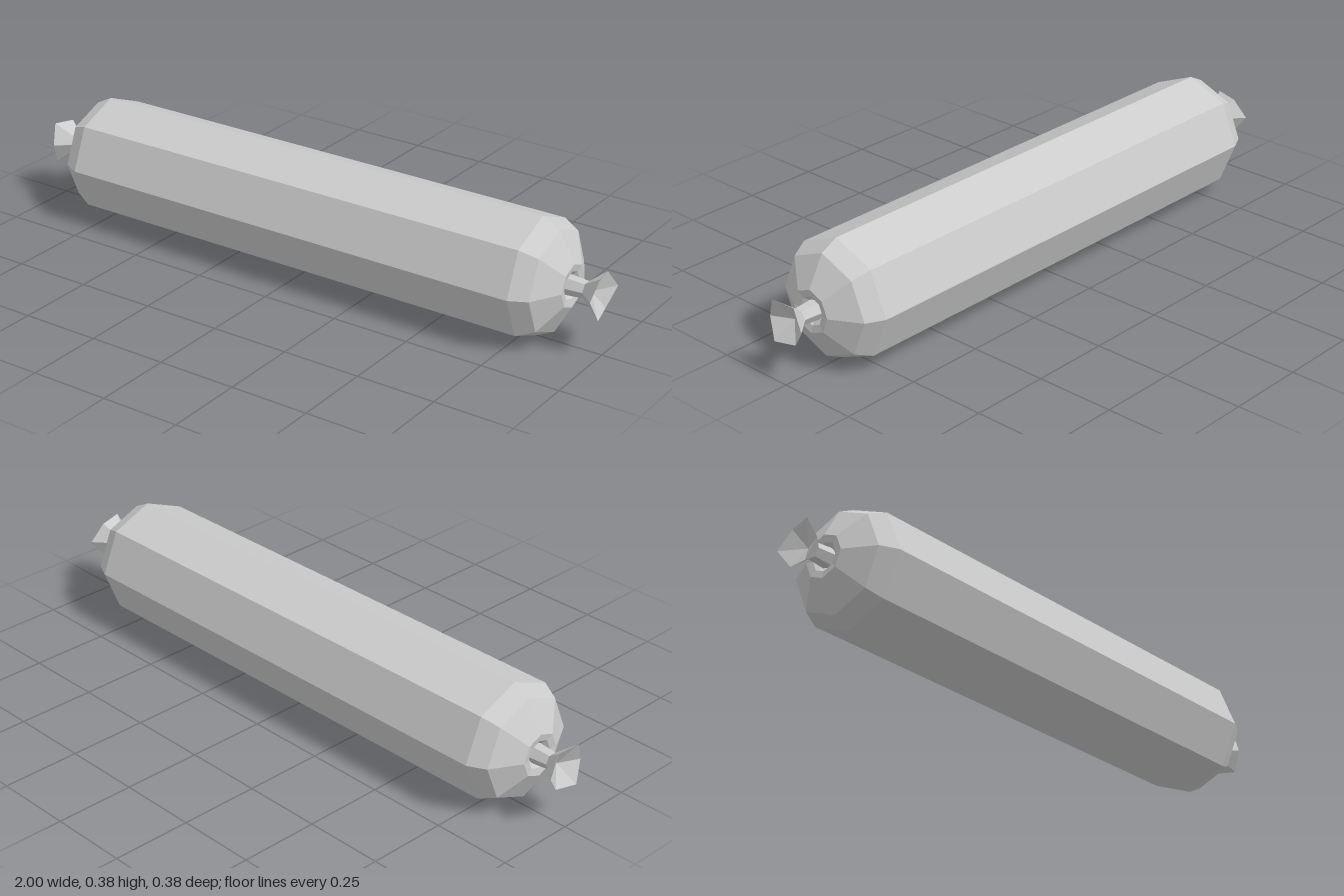
import * as THREE from 'three';

const RADIUS = 0.19;
const material = new THREE.MeshStandardMaterial({ color: 0xcccccc, flatShading: true });

// Faceted solid of revolution around y from [radius, height] pairs
function facetedLathe(profile, sides) {
  return new THREE.LatheGeometry(profile.map(([r, y]) => new THREE.Vector2(r, y)), sides);
}

function makeMesh(name, geometry) {
  const flat = geometry.toNonIndexed();
  flat.computeVertexNormals();
  const mesh = new THREE.Mesh(flat, material);
  mesh.name = name;
  return mesh;
}

// Gathered knot: slim neck, flared rim with alternating points, hollow end
function knotGeometry() {
  const profile = [[0.032, 0.865], [0.026, 0.94], [0.076, 1], [0, 0.955]];
  const geometry = facetedLathe(profile, 6);
  const pos = geometry.attributes.position;
  const rim = 2;
  for (let i = 0; i <= 6; i += 2) {
    const v = i * profile.length + rim;
    const k = 0.067 / 0.076;
    pos.setXYZ(v, pos.getX(v) * k, 0.986, pos.getZ(v) * k);
  }
  return geometry;
}

export function createModel() {
  const model = new THREE.Group();
  model.name = 'sausage';

  // Eight-sided casing with rounded ends and a dimple around each neck
  const half = [[0.19, 0.79], [0.162, 0.845], [0.068, 0.897], [0.045, 0.893], [0.024, 0.872]];
  const mirrored = half.map(([r, y]) => [r, -y]).reverse();
  const casing = makeMesh('casing', facetedLathe([...mirrored, ...half], 8));
  casing.rotation.z = -Math.PI / 2;
  casing.position.y = RADIUS;
  model.add(casing);

  // Tied ends
  for (const [name, side] of [['leftKnot', 1], ['rightKnot', -1]]) {
    const knot = makeMesh(name, knotGeometry());
    knot.rotation.z = -side * Math.PI / 2;
    knot.position.y = RADIUS;
    model.add(knot);
  }
  return model;
}
